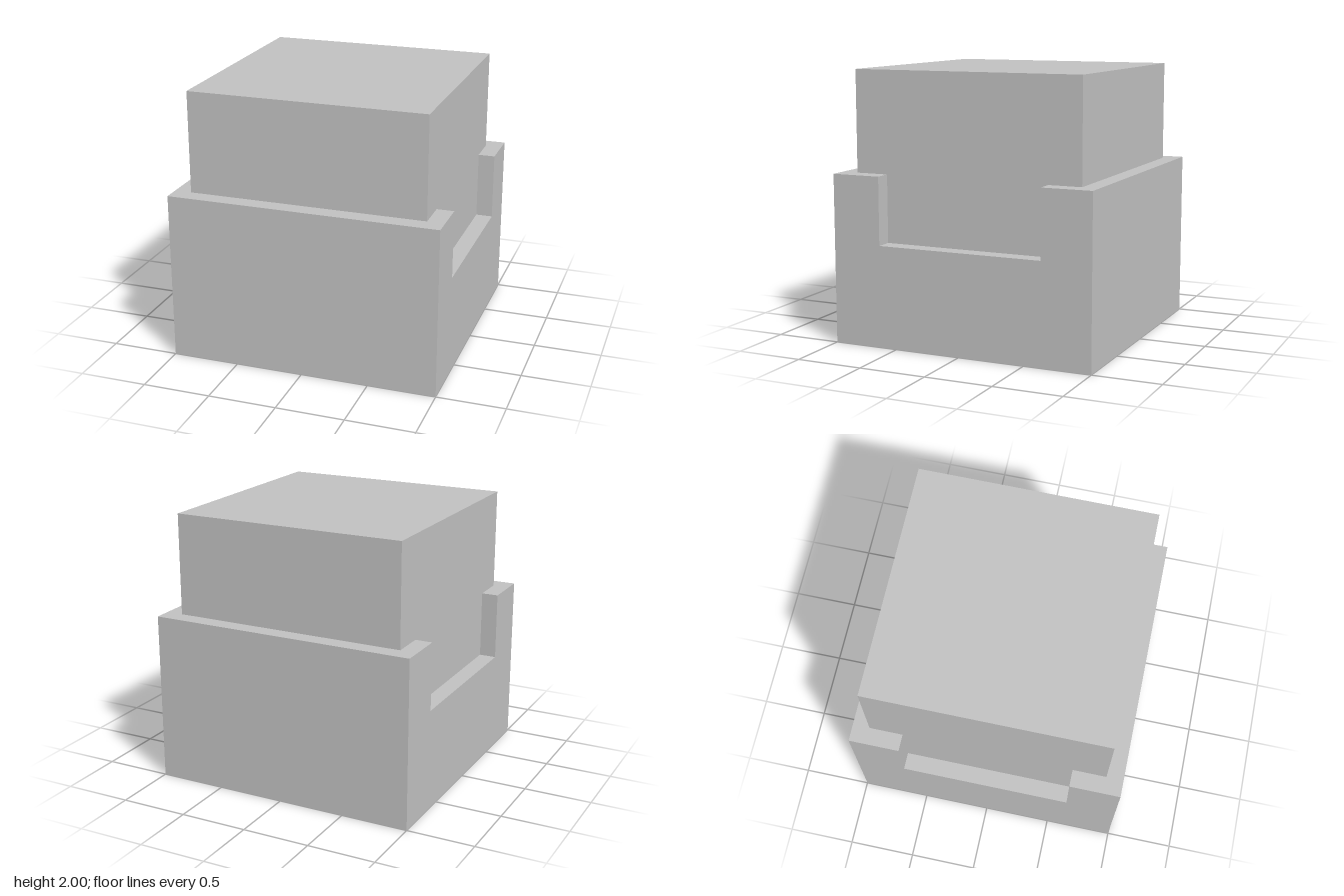
import * as THREE from 'three';

export function createModel() {
  const group = new THREE.Group();
  const grey = new THREE.MeshStandardMaterial({ color: 0xc0c0c0 });
  grey.name = 'grey';

  // Outer case: side profile with a finger notch, extruded across the width
  const profile = new THREE.Shape([
    [-1, 0], [1, 0], [1, 1.25], [0.628, 1.25],
    [0.628, 0.75], [-0.628, 0.75], [-0.628, 1.25], [-1, 1.25],
  ].map(([z, y]) => new THREE.Vector2(z, y)));
  const caseGeometry = new THREE.ExtrudeGeometry(profile, { depth: 2, bevelEnabled: false });
  caseGeometry.translate(0, 0, -1).rotateY(Math.PI / 2);
  const outerCase = new THREE.Mesh(caseGeometry, grey);
  outerCase.name = 'notchedCase';
  group.add(outerCase);

  // Inner block rising out of the case
  const block = new THREE.Mesh(new THREE.BoxGeometry(1.75, 1.25, 1.75), grey);
  block.position.y = 1.375;
  block.name = 'innerBlock';
  group.add(block);

  return group;
}
